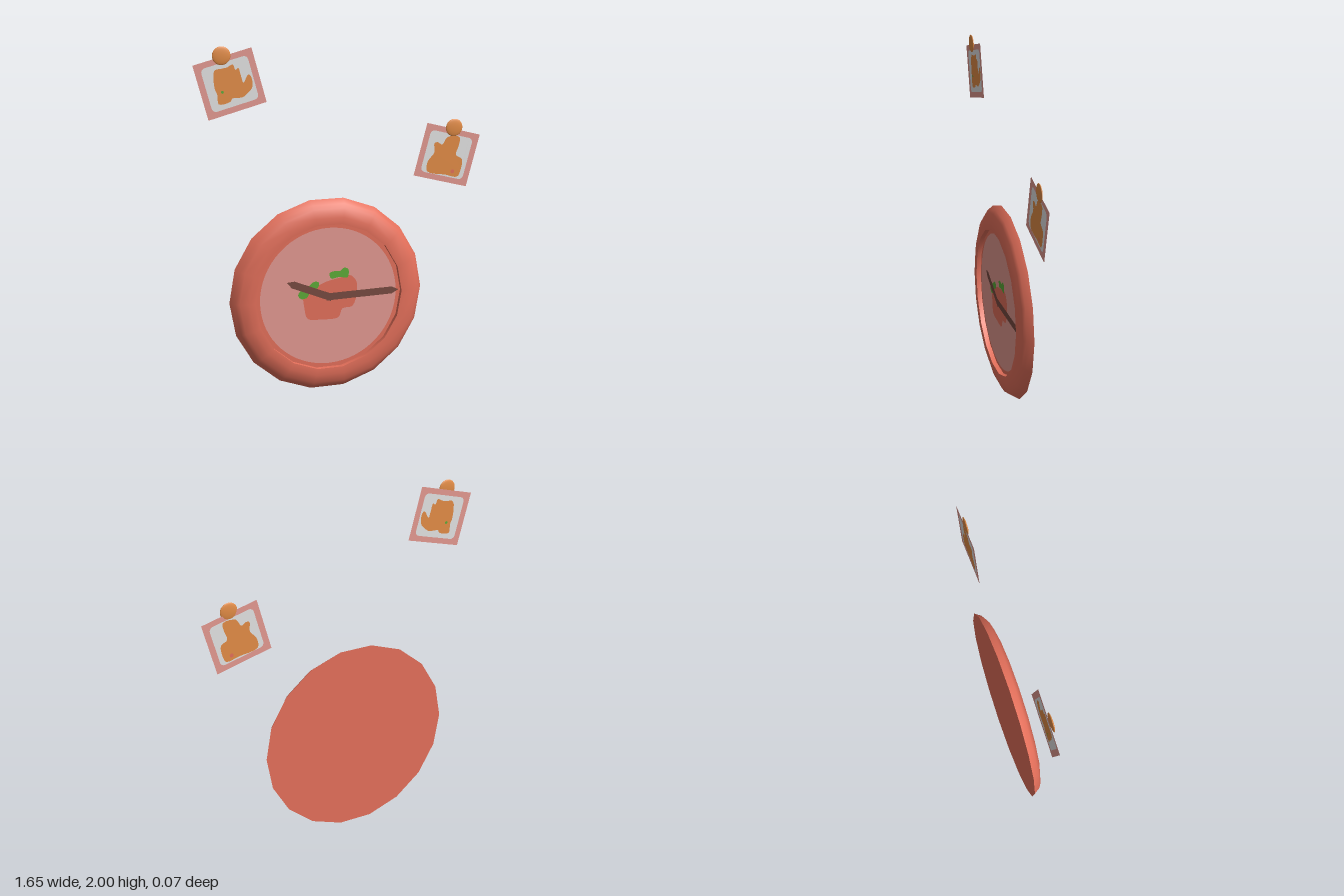
import * as THREE from 'three';
import { toCreasedNormals } from 'three/addons/utils/BufferGeometryUtils.js';

export function createModel() {
  const root = new THREE.Group();
  root.name = 'wallClockWithPhotos';

  const mat = (name, color, side = THREE.DoubleSide) => {
    const m = new THREE.MeshStandardMaterial({ color, side });
    m.name = name;
    return m;
  };
  const red = mat('tomatoRed', 0xe5705b);
  const pink = mat('softPink', 0xe59a92);
  const white = mat('paperWhite', 0xe4e4e4);
  const orange = mat('orange', 0xe48d46);
  const green = mat('leafGreen', 0x5dac38);
  const brown = mat('handBrown', 0x784b40);

  const add = (parent, name, geometry, material, z = 0) => {
    const mesh = new THREE.Mesh(geometry, material);
    mesh.name = name;
    mesh.position.z = z;
    parent.add(mesh);
    return mesh;
  };
  const vectors = (pts) => pts.map(([x, y]) => new THREE.Vector2(x, y));

  // Closed soft outline through a few points, optionally turned
  const blobPoints = (pts, angle = 0) => {
    const curve = new THREE.CatmullRomCurve3(
      pts.map(([x, y]) => new THREE.Vector3(x, y, 0)), true, 'centripetal');
    const origin = new THREE.Vector2();
    return curve.getPoints(pts.length * 4).slice(0, -1)
      .map((p) => new THREE.Vector2(p.x, p.y).rotateAround(origin, angle));
  };
  const flat = (points, hole) => {
    const shape = new THREE.Shape(points);
    if (hole) shape.holes.push(new THREE.Path(hole));
    return new THREE.ShapeGeometry(shape);
  };

  // ---- Clock ----
  const clock = new THREE.Group();
  clock.name = 'clock';
  clock.position.set(-0.081, 0.56, 0);
  root.add(clock);

  // Eighteen-sided case: flat back, rounded rim, recessed front
  const profile = vectors([
    [0, -0.033], [0.568, -0.033], [0.543, 0.003], [0.52, 0.017], [0.47, 0.033],
    [0.43, 0.031], [0.43, 0.004], [0, 0.004],
  ]);
  const body = new THREE.LatheGeometry(profile, 18, Math.PI / 2);
  body.rotateX(Math.PI / 2);
  add(clock, 'case', toCreasedNormals(body, 0.6), red);

  // Dial with painted fruit and leaves
  add(clock, 'dial', new THREE.CircleGeometry(0.402, 64), pink, 0.007);
  add(clock, 'fruit', flat(blobPoints([
    [-0.145, 0.035], [-0.145, -0.06], [-0.125, -0.123], [-0.045, -0.134], [0.056, -0.13],
    [0.08, -0.08], [0.14, -0.07], [0.167, 0.01], [0.162, 0.078], [0.125, 0.115],
    [0.06, 0.104], [-0.01, 0.09], [-0.07, 0.067],
  ])), red, 0.009);
  const leaves = [
    [[-0.182, 0.025], [-0.166, 0], [-0.13, 0.004], [-0.108, 0.04], [-0.066, 0.057],
      [-0.06, 0.088], [-0.09, 0.094], [-0.124, 0.067], [-0.155, 0.057]],
    [[0.003, 0.136], [0.014, 0.104], [0.06, 0.11], [0.11, 0.104], [0.114, 0.152],
      [0.088, 0.162], [0.067, 0.146], [0.024, 0.146]],
  ];
  leaves.forEach((pts) => add(clock, 'leaf', flat(blobPoints(pts)), green, 0.011));

  // Pointed hands
  const hand = (name, length, halfWidth, angle, z) => {
    const tip = length - 0.04;
    const mesh = add(clock, name, flat(vectors([
      [-0.018, -halfWidth], [tip, -halfWidth], [length, 0], [tip, halfWidth], [-0.018, halfWidth],
    ])), brown, z);
    mesh.rotation.z = angle;
  };
  hand('minuteHand', 0.415, 0.021, 0.012, 0.016);
  hand('hourHand', 0.27, 0.021, Math.PI - 0.4, 0.018);

  // ---- Pinned photos ----
  // Rounded inner rectangle of a photo
  const paperPoints = (w, h, r) => {
    const pts = [];
    [[1, 1], [-1, 1], [-1, -1], [1, -1]].forEach(([sx, sy], q) => {
      for (let i = 0; i <= 4; i++) {
        const a = (q + i / 4) * Math.PI / 2;
        pts.push(new THREE.Vector2(
          sx * (w - r) + r * Math.cos(a), sy * (h - r) + r * Math.sin(a)));
      }
    });
    return pts;
  };

  const photo = (name, x, y, angle, petPts, pin) => {
    const group = new THREE.Group();
    group.name = name;
    group.position.set(x, y, 0);
    root.add(group);

    const card = new THREE.Group();
    card.name = 'card';
    card.rotation.z = angle;
    group.add(card);
    const w = 0.166, h = 0.154;
    const paper = paperPoints(0.132, 0.122, 0.025);
    const pet = blobPoints(petPts, -angle);
    add(card, 'frame', flat(vectors([[-w, -h], [w, -h], [w, h], [-w, h]]), paper), pink);
    add(card, 'paper', flat(paper, pet), white);
    add(card, 'petPicture', flat(pet), orange);

    // Flattened round pin head
    const head = add(group, 'pin', new THREE.SphereGeometry(0.05, 24, 16), orange, pin.z);
    head.position.x = pin.x;
    head.position.y = pin.y;
    head.scale.z = pin.depth / 0.05;
    return group;
  };

  const rightPhoto = photo('rightPhoto', -0.626, 1.796, 0.26, [
    [-0.083, 0.074], [-0.043, 0.084], [-0.013, 0.09], [0.017, 0.104], [0.032, 0.074],
    [0.047, 0.084], [0.062, 0.037], [0.074, 0.004], [0.101, 0.048], [0.117, 0.034],
    [0.122, -0.021], [0.097, -0.053], [0.067, -0.074], [0.011, -0.079], [0, -0.096],
    [-0.063, -0.106], [-0.069, -0.058], [-0.083, -0.021],
  ], { x: -0.046, y: 0.154, z: 0.009, depth: 0.008 });
  const leftPhoto = photo('leftPhoto', 0.624, 1.333, -0.26, [
    [-0.076, 0.072], [-0.055, 0.077], [-0.029, 0.061], [0.003, 0.103], [0.077, 0.098],
    [0.072, 0.05], [0.056, -0.003], [0.093, -0.029], [0.088, -0.087], [0.066, -0.13],
    [-0.008, -0.114], [-0.119, -0.087], [-0.114, -0.029], [-0.076, 0.019],
  ], { x: 0.04, y: 0.157, z: 0.004, depth: 0.008 });

  // Tiny painted accents on both faces of the pet pictures
  [-0.002, 0.002].forEach((z) => {
    const eye = add(rightPhoto, 'greenAccent', new THREE.CircleGeometry(0.008, 8), green, z);
    eye.position.set(-0.042, -0.042, z);
    const spot = add(leftPhoto, 'redAccent', new THREE.CircleGeometry(0.012, 8), red, z);
    spot.position.set(0.035, -0.098, z);
  });

  return root;
}
